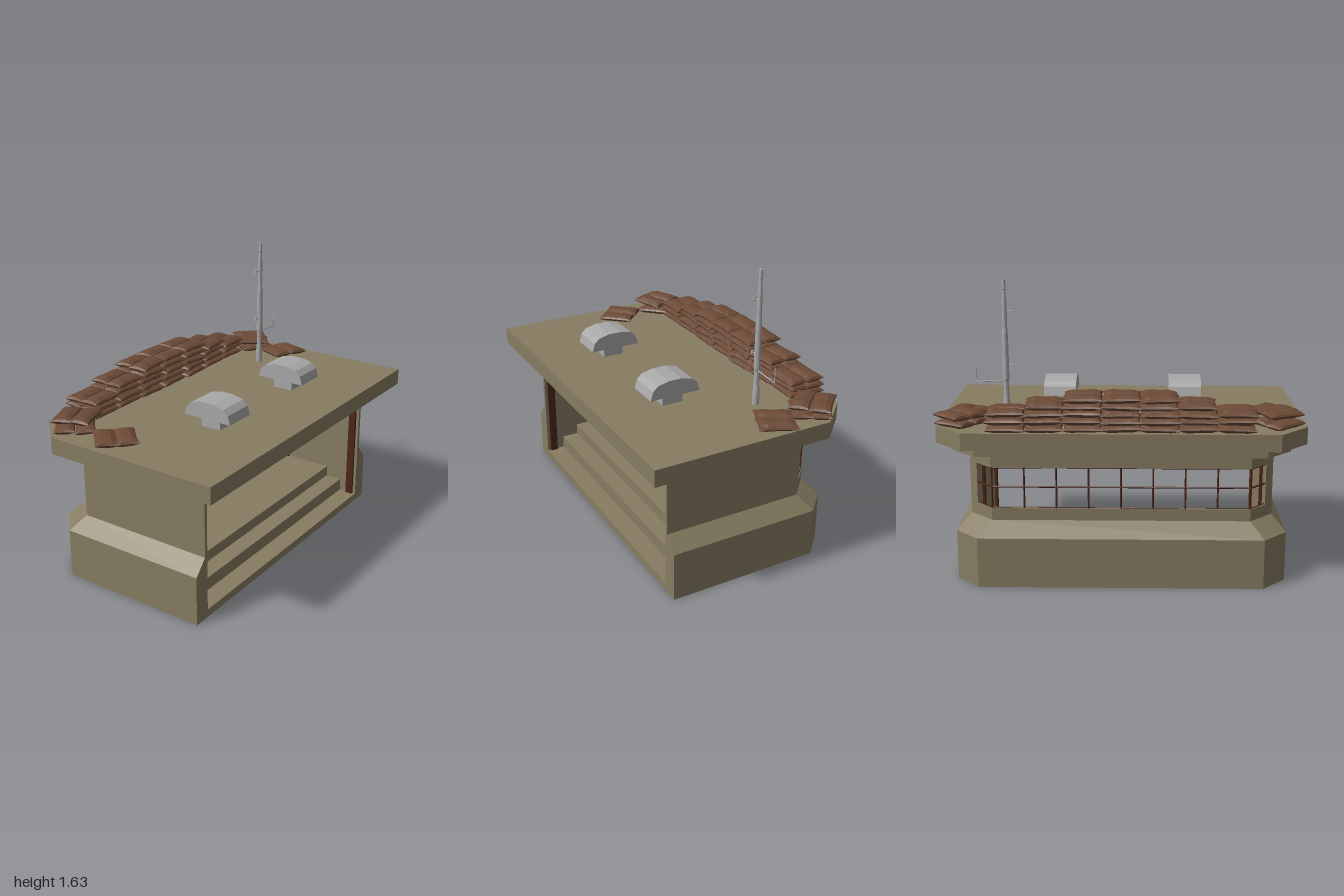
import * as THREE from 'three';

const mat = (name, color) => Object.assign(new THREE.MeshStandardMaterial({ color, flatShading: true }), { name });

// Solid through rings of [x, z] points, one ring per height
function loft(rings) {
  const ccw = rings.map(r => {
    const pts = r.pts.map(p => new THREE.Vector2(...p));
    return { y: r.y, pts: THREE.ShapeUtils.area(pts) < 0 ? pts.reverse() : pts };
  });
  const pos = [];
  const put = (r, i) => pos.push(r.pts[i].x, r.y, r.pts[i].y);
  const n = ccw[0].pts.length, last = ccw[ccw.length - 1];
  for (let k = 0; k < ccw.length - 1; k++) {
    const a = ccw[k], b = ccw[k + 1];
    for (let i = 0; i < n; i++) {
      const j = (i + 1) % n;
      put(a, i); put(b, i); put(b, j);
      put(a, i); put(b, j); put(a, j);
    }
  }
  for (const t of THREE.ShapeUtils.triangulateShape(ccw[0].pts, [])) t.forEach(i => put(ccw[0], i));
  for (const t of THREE.ShapeUtils.triangulateShape(last.pts, [])) [t[0], t[2], t[1]].forEach(i => put(last, i));
  const g = new THREE.BufferGeometry();
  g.setAttribute('position', new THREE.Float32BufferAttribute(pos, 3));
  g.computeVertexNormals();
  return g;
}

// Plan outline with the two corners at -x cut off
const plan = (xBack, xFront, cx, z, cz) =>
  [[xBack, z], [cx, z], [xFront, cz], [xFront, -cz], [cx, -z], [xBack, -z]];
const inner = x => plan(x, -0.465, -0.355, 0.81, 0.70);
const wallPlan = (...a) => [...plan(0.44, ...a), ...inner(0.44).reverse()];
const prism = (pts, y0, y1) => loft([{ y: y0, pts }, { y: y1, pts }]);

// Pillow with pinched seams and a sagging middle
function bagGeometry() {
  const g = new THREE.BoxGeometry(1, 1, 1, 4, 2, 5);
  const p = g.attributes.position;
  for (let i = 0; i < p.count; i++) {
    const x = p.getX(i), y = p.getY(i), z = p.getZ(i);
    const u = Math.abs(x * 2), w = Math.abs(z * 2);
    p.setXYZ(i,
      x * (1 - 0.1 * (1 - w * w)) * (1 - 0.5 * y * y),
      y * (1 - 0.55 * u ** 3) * (1 - 0.5 * w ** 4) * (1 - 0.1 * Math.cos(6 * z)),
      z * (1 - 0.06 * (1 - u * u)) * (1 - 0.3 * y * y));
  }
  g.computeVertexNormals();
  return g;
}

export function createModel() {
  const model = new THREE.Group();
  const concrete = mat('khaki concrete', 0x877c62);
  const cloth = mat('brown sackcloth', 0x6b4a36);
  const metal = mat('grey metal', 0xa8a8a8);
  const rust = mat('dark rust', 0x4c261a);
  const add = (name, geo, m, x = 0, y = 0, z = 0, parent = model) => {
    const o = new THREE.Mesh(geo, m);
    o.name = name;
    o.position.set(x, y, z);
    parent.add(o);
    return o;
  };
  const box = (name, m, w, h, d, x, y, z) => add(name, new THREE.BoxGeometry(w, h, d), m, x, y, z);
  const rod = (name, m, a, b, r, sides = 4) => {
    const p = new THREE.Vector3(...a), q = new THREE.Vector3(...b), d = q.clone().sub(p);
    const o = add(name, new THREE.CylinderGeometry(r, r, d.length(), sides), m);
    o.position.copy(p.add(q).multiplyScalar(0.5));
    o.quaternion.setFromUnitVectors(new THREE.Vector3(0, 1, 0), d.normalize());
    return o;
  };

  // Walls: flared base, window opening, lintel
  const base = wallPlan(-0.56, -0.43, 0.905, 0.775), upper = wallPlan(-0.49, -0.365, 0.83, 0.70);
  add('lowerWall', loft([{ y: 0, pts: base }, { y: 0.28, pts: base }, { y: 0.363, pts: upper }, { y: 0.43, pts: upper }]), concrete);
  add('lintel', prism(upper, 0.66, 0.735), concrete);
  for (const s of [1, -1]) {
    const pier = [[0.44, 0.83], [-0.365, 0.83], [-0.405, 0.788], [-0.385, 0.78], [-0.355, 0.81], [0.44, 0.81]];
    add('sideWall', prism(pier.map(([x, z]) => [x, z * s]), 0.43, 0.66), concrete);
  }

  // Floor and inside steps
  add('floor', prism(inner(0.44), 0, 0.045), concrete);
  add('lowerStep', prism(inner(0.33), 0.045, 0.12), concrete);
  add('upperStep', prism(inner(0.23), 0.12, 0.185), concrete);

  // Roof slabs
  add('roofLedge', prism(plan(0.5, -0.53, -0.39, 0.92, 0.78), 0.73, 0.78), concrete);
  add('roof', prism(plan(0.6, -0.592, -0.425, 1, 0.84), 0.78, 0.875), concrete);

  // Window grille
  for (let k = -4; k <= 4; k++) rod('windowBar', rust, [-0.483, 0.43, k * 0.174], [-0.483, 0.66, k * 0.174], 0.005);
  for (const y of [0.434, 0.55, 0.656]) {
    const r = y === 0.55 ? 0.005 : 0.003;
    rod('windowRail', rust, [-0.483, y, -0.70], [-0.483, y, 0.70], r);
    for (const s of [1, -1]) rod('cornerRail', rust, [-0.483, y, 0.70 * s], [-0.40, y, 0.783 * s], r);
  }

  // Posts against the side walls
  for (const s of [1, -1]) for (const x of [0.4, -0.08])
    box('post', rust, 0.045, 0.69, 0.014, x, 0.39, 0.803 * s);

  // Pipe under the ceiling with hangers and an elbow
  rod('ceilingPipe', rust, [0.15, 0.66, -0.81], [0.15, 0.66, 0.81], 0.021, 12);
  for (const z of [0.4, -0.4]) box('pipeHanger', metal, 0.012, 0.09, 0.008, 0.174, 0.69, z);
  const bend = new THREE.CatmullRomCurve3([[0.27, 0.624, 0.778], [0.27, 0.628, 0.735], [0.27, 0.66, 0.715], [0.27, 0.705, 0.715]]
    .map(p => new THREE.Vector3(...p)));
  const elbowMetal = metal.clone();
  elbowMetal.side = THREE.DoubleSide;
  add('pipeElbow', new THREE.TubeGeometry(bend, 8, 0.025, 10), elbowMetal);

  // Roof vents
  const cap = new THREE.Shape([[-0.148, 0], [0.148, 0], [0.133, 0.05], [0.103, 0.078], [0.04, 0.093], [-0.04, 0.093], [-0.103, 0.078], [-0.133, 0.05]]
    .map(p => new THREE.Vector2(...p)));
  for (const s of [1, -1]) {
    add('ventCap', new THREE.ExtrudeGeometry(cap, { depth: 0.186, bevelEnabled: false }), metal, 0.187, 0.935, 0.363 * s - 0.093);
    box('ventStem', metal, 0.12, 0.064, 0.122, 0.187, 0.905, 0.363 * s);
  }

  // Mast with side antenna
  const mastProfile = [[0, 0], [0.018, 0], [0.02, 0.06], [0.015, 0.12], [0.015, 0.2], [0.018, 0.21], [0.016, 0.46],
    [0.013, 0.5], [0.013, 0.64], [0.008, 0.7], [0.011, 0.71], [0.009, 0.76], [0, 0.762]];
  add('mast', new THREE.LatheGeometry(mastProfile.map(p => new THREE.Vector2(...p)), 12), metal, -0.2, 0.873, -0.64);
  rod('antennaArm', metal, [-0.2, 1.075, -0.64], [-0.2, 1.068, -0.805], 0.004, 6);
  rod('antennaTip', metal, [-0.2, 1.065, -0.805], [-0.2, 1.155, -0.805], 0.003, 6);
  for (const y of [1.16, 1.46]) {
    rod('mastPeg', metal, [-0.2, y, -0.64], [-0.2, y, -0.595], 0.004, 6);
    box('mastPegHead', metal, 0.014, 0.02, 0.01, -0.2, y, -0.592);
  }

  // Sandbags, laid in pairs
  const bag = bagGeometry();
  let seed = 7;
  const jitter = a => {
    seed = (seed * 16807) % 2147483647;
    return (seed / 2147483647 - 0.5) * 2 * a;
  };
  const pair = (x, y, z, turn) => {
    const g = new THREE.Group();
    g.name = 'sandbagPair';
    g.position.set(x, y, z);
    g.rotation.y = turn + jitter(0.05);
    for (const s of [1, -1]) {
      const b = add('sandbag', bag, cloth, 0.053 * s, 0, 0, g);
      b.scale.set(0.118 + jitter(0.006), 0.049, 0.21 + jitter(0.006));
      b.rotation.set(jitter(0.03), jitter(0.05), jitter(0.08));
    }
    model.add(g);
  };
  [7, 7, 7, 5, 3].forEach((count, layer) => {
    for (let i = 0; i < count; i++)
      pair(-0.48 + jitter(0.008), 0.894 + layer * 0.039, (i - (count - 1) / 2) * 0.203 + jitter(0.006), 0);
  });
  pair(-0.40, 0.893, 0.84, 0.75);
  pair(-0.39, 0.95, 0.84, 0.42);
  pair(-0.12, 0.893, 0.84, 0.78);
  pair(-0.40, 0.893, -0.86, -0.5);
  pair(-0.41, 0.935, -0.86, -0.8);
  pair(-0.17, 0.893, -0.87, 1.17);

  return model;
}
